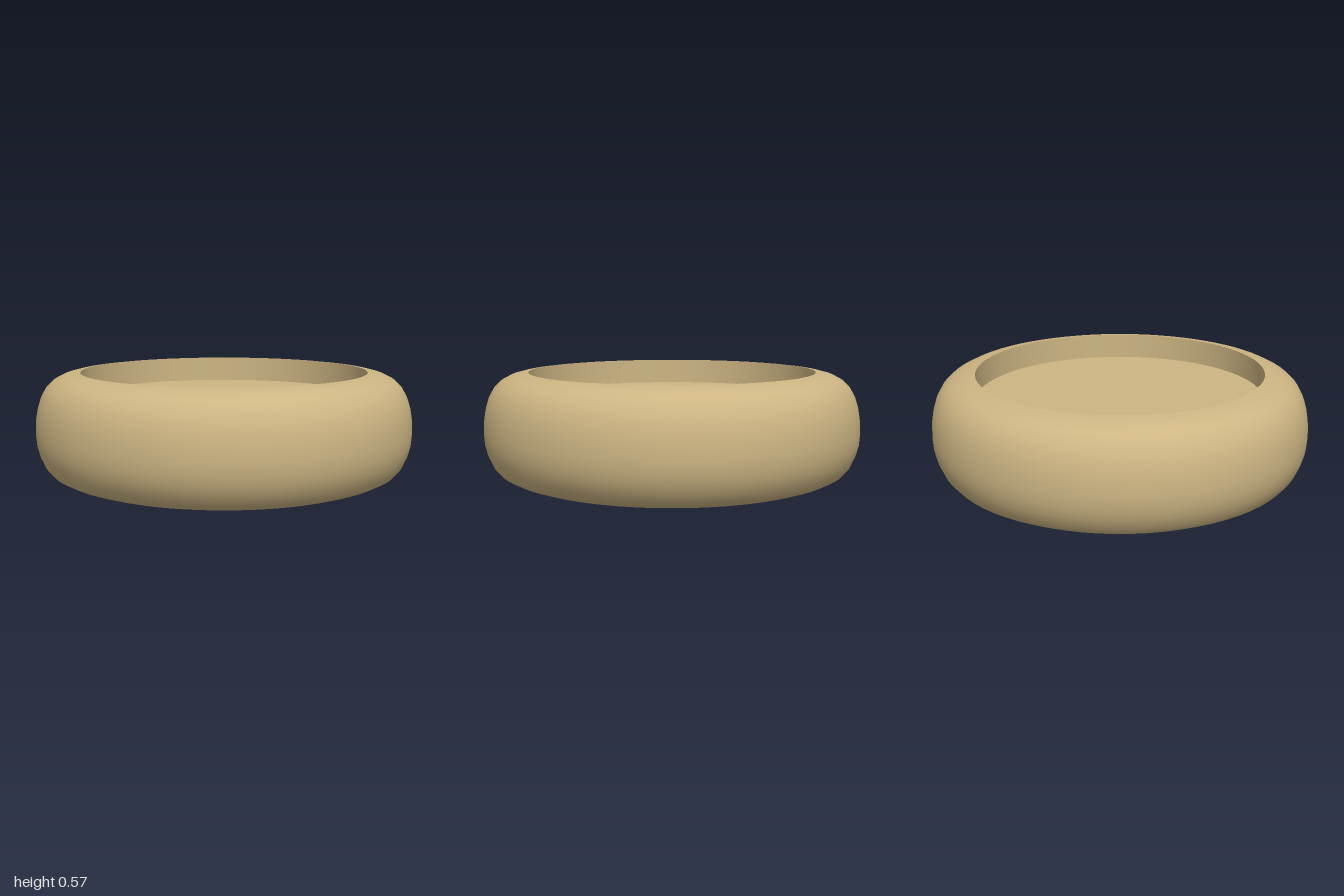
import * as THREE from 'three';

const SEGMENTS = 72;

// Turns a list of [radius, height] pairs around the y axis
function turned(name, profile, material) {
  const points = profile.map(([r, y]) => new THREE.Vector2(r, y));
  const mesh = new THREE.Mesh(new THREE.LatheGeometry(points, SEGMENTS), material);
  mesh.name = name;
  return mesh;
}

export function createModel() {
  const group = new THREE.Group();
  group.name = 'shallowRoundDish';

  const tan = new THREE.MeshStandardMaterial({ color: 0xcdb583 });
  tan.name = 'tan';

  const rimRadius = 0.763, rimHeight = 0.572, floorHeight = 0.435;

  // Bulging outer body, from the flat underside up to the rim
  group.add(turned('outerBody', [
    [0, 0], [0.78, 0], [0.81, 0.004], [0.87, 0.024], [0.92, 0.05],
    [0.955, 0.09], [0.98, 0.145], [0.995, 0.2], [1, 0.26], [0.997, 0.33],
    [0.987, 0.39], [0.97, 0.445], [0.942, 0.495], [0.905, 0.53],
    [0.86, 0.553], [0.81, 0.566], [rimRadius, rimHeight],
  ], tan));

  // Straight wall of the recess, facing inward
  group.add(turned('recessWall', [[rimRadius, rimHeight], [rimRadius, floorHeight]], tan));

  // Flat floor of the recess
  const floor = new THREE.Mesh(new THREE.CircleGeometry(rimRadius, SEGMENTS), tan);
  floor.name = 'recessFloor';
  floor.rotation.x = -Math.PI / 2;
  floor.position.y = floorHeight;
  group.add(floor);

  return group;
}
